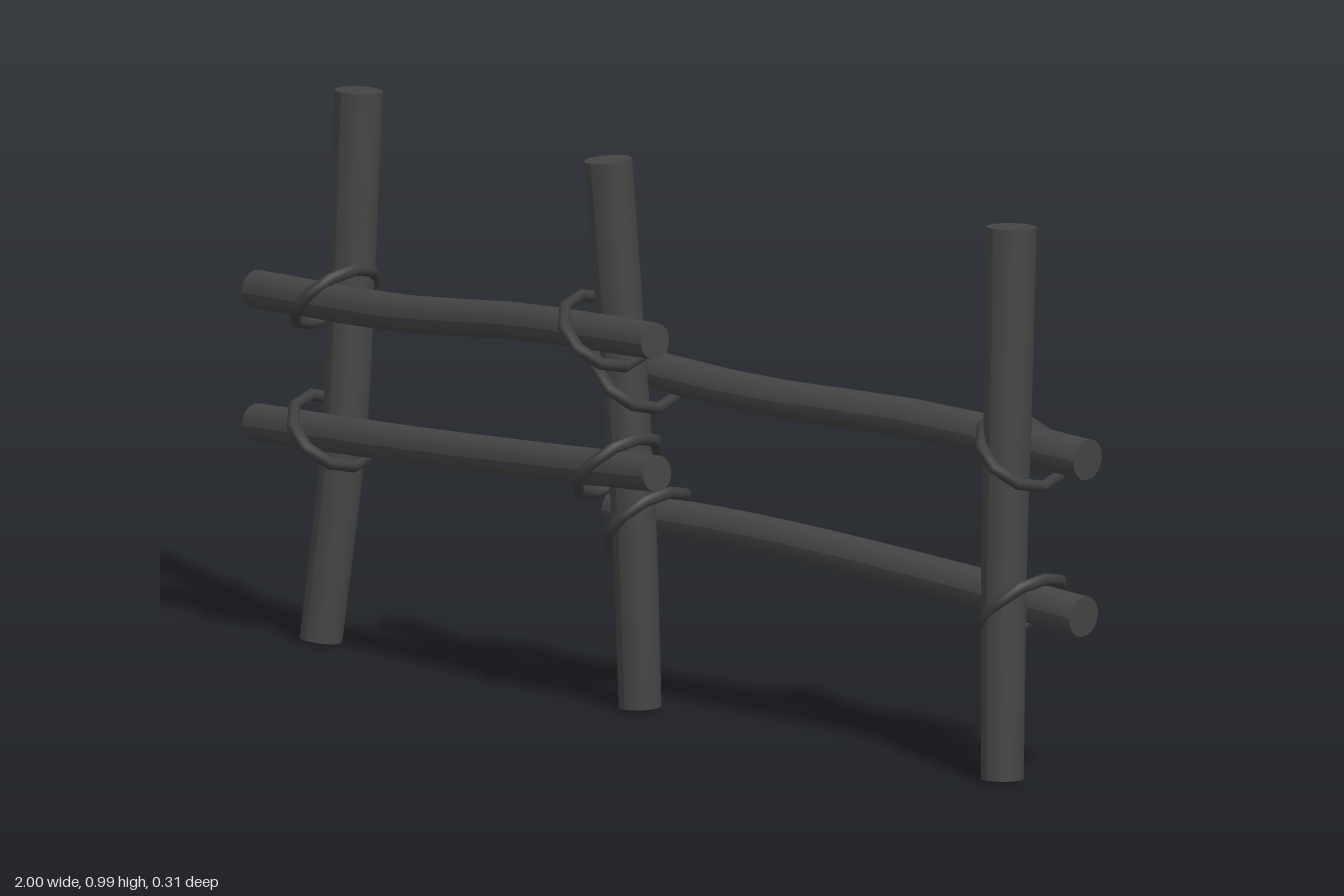
import * as THREE from 'three';

const wood = new THREE.MeshStandardMaterial({ color: 0x444444 });
const ropeMaterial = new THREE.MeshStandardMaterial({ color: 0x3c3c3c });
const V = (p) => new THREE.Vector3(...p);

// A slightly crooked pole: a capped cylinder whose rings follow a curve
function pole(name, points, rStart, rEnd) {
  const curve = new THREE.CatmullRomCurve3(points.map(V));
  const g = new THREE.CylinderGeometry(rEnd, rStart, 1, 16, 8);
  const up = new THREE.Vector3(0, 1, 0);
  const q = new THREE.Quaternion();
  const pos = g.attributes.position;
  const v = new THREE.Vector3();
  for (let i = 0; i < pos.count; i++) {
    const t = THREE.MathUtils.clamp(pos.getY(i) + 0.5, 0, 1);
    q.setFromUnitVectors(up, curve.getTangentAt(t));
    v.set(pos.getX(i), 0, pos.getZ(i)).applyQuaternion(q).add(curve.getPointAt(t));
    pos.setXYZ(i, v.x, v.y, v.z);
  }
  g.computeVertexNormals();
  const mesh = new THREE.Mesh(g, wood);
  mesh.name = name;
  return mesh;
}

// A rope ring standing on a diagonal (slope +1 or -1) around a post and a rail
function lashing(name, x, y, z, slope) {
  const g = new THREE.TorusGeometry(0.084, 0.0115, 8, 10);
  g.rotateX(Math.PI / 2);
  g.scale(0.95, 1, 1.0);
  g.rotateZ(slope * Math.PI / 4);
  const mesh = new THREE.Mesh(g, ropeMaterial);
  mesh.name = name;
  mesh.position.set(x, y, z);
  return mesh;
}

export function createModel() {
  const fence = new THREE.Group();
  fence.name = 'fence';

  // Upright posts, bottom to top
  fence.add(
    pole('rightPost', [[-0.846, 0.006, 0.015], [-0.82, 0.4, -0.02], [-0.827, 0.62, -0.04], [-0.825, 0.992, -0.057]], 0.038, 0.043),
    pole('middlePost', [[-0.022, 0.006, 0.018], [-0.032, 0.35, 0.024], [-0.055, 0.65, 0.03], [-0.077, 0.99, 0.044]], 0.038, 0.043),
    pole('leftPost', [[0.892, 0.006, 0.001], [0.877, 0.4, -0.018], [0.873, 0.65, -0.03], [0.865, 0.993, -0.047]], 0.038, 0.045),
  );

  // Horizontal rails, each from -x to +x
  fence.add(
    pole('rightUpperRail', [[-0.998, 0.62, 0.028], [-0.6, 0.638, 0.055], [-0.25, 0.677, 0.082], [0.108, 0.697, 0.105]], 0.034, 0.033),
    pole('rightLowerRail', [[-0.998, 0.379, 0.028], [-0.6, 0.402, 0.053], [-0.25, 0.428, 0.078], [0.108, 0.457, 0.1]], 0.034, 0.033),
    pole('leftUpperRail', [[-0.15, 0.606, -0.042], [0.2, 0.592, -0.055], [0.6, 0.598, -0.088], [0.995, 0.582, -0.11]], 0.034, 0.037),
    pole('leftLowerRail', [[-0.15, 0.338, -0.042], [0.2, 0.342, -0.053], [0.6, 0.324, -0.08], [0.995, 0.3, -0.1]], 0.034, 0.037),
  );

  // Rope lashings at every crossing
  const crossings = [
    ['rightPostUpperRope', -0.83, 0.627, -0.002, 1],
    ['rightPostLowerRope', -0.822, 0.387, 0.01, -1],
    ['middlePostFrontUpperRope', -0.066, 0.685, 0.066, -1],
    ['middlePostFrontLowerRope', -0.037, 0.445, 0.06, 1],
    ['middlePostBackUpperRope', -0.055, 0.602, -0.003, -1],
    ['middlePostBackLowerRope', -0.028, 0.34, -0.005, 1],
    ['leftPostUpperRope', 0.873, 0.587, -0.062, -1],
    ['leftPostLowerRope', 0.88, 0.308, -0.06, 1],
  ];
  for (const c of crossings) fence.add(lashing(...c));

  return fence;
}
